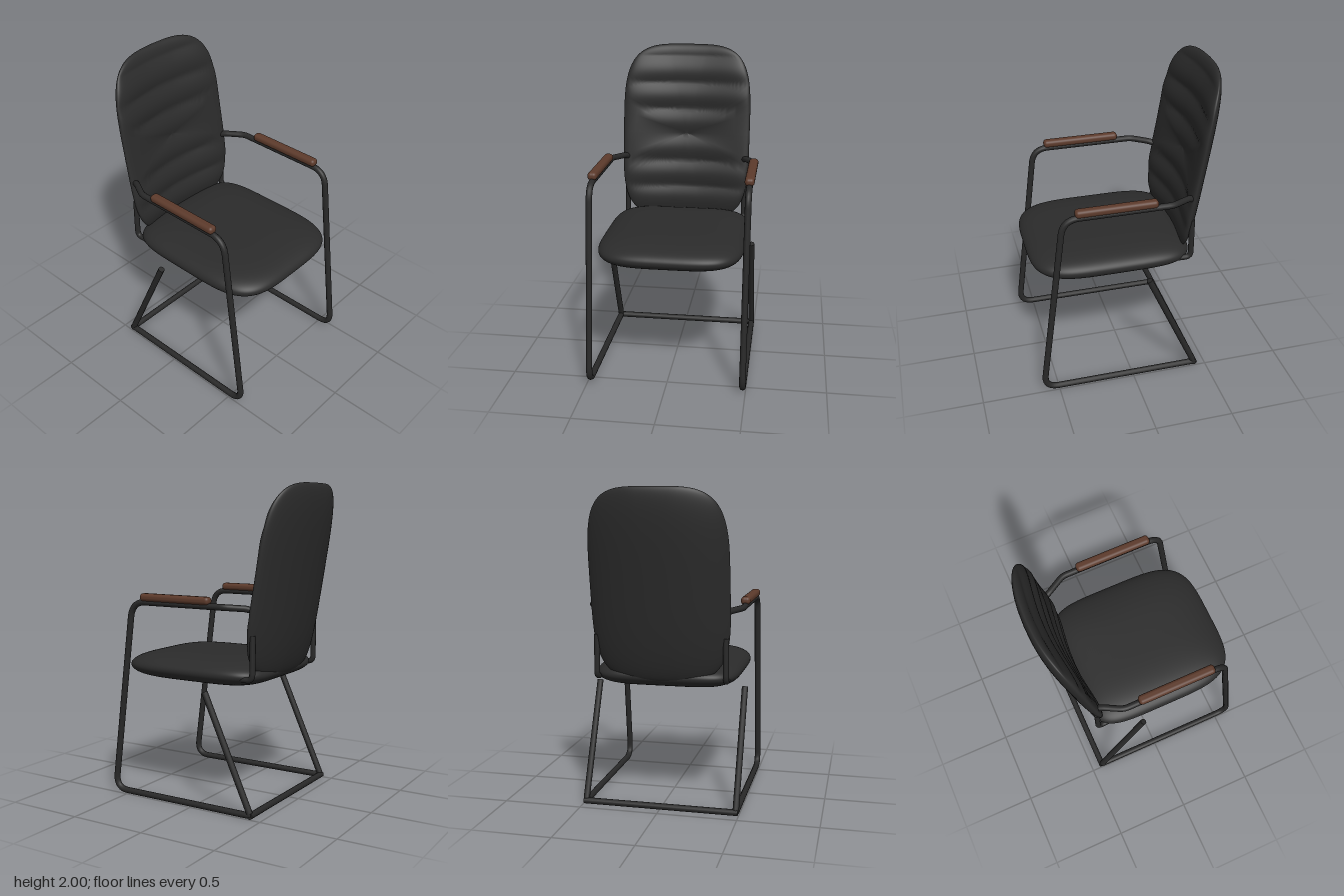
import * as THREE from 'three';
import { mergeVertices } from 'three/addons/utils/BufferGeometryUtils.js';
import { RoundedBoxGeometry } from 'three/addons/geometries/RoundedBoxGeometry.js';

const material = (name, color) => {
  const m = new THREE.MeshStandardMaterial({ color });
  m.name = name;
  return m;
};

// Pillow: a sphere whose outline becomes a rounded rectangle.
// place(x, y, h, out) gets outline coordinates and height h, each in -1..1.
function pillow(place, exponent) {
  const sphere = new THREE.SphereGeometry(1, 96, 96);
  sphere.rotateX(Math.PI / 2);
  sphere.deleteAttribute('uv');
  sphere.deleteAttribute('normal');
  const geometry = mergeVertices(sphere, 1e-5);
  const pos = geometry.attributes.position;
  const v = new THREE.Vector3();
  const bend = (c, n) => Math.sign(c) * Math.abs(c) ** (2 / n);
  for (let i = 0; i < pos.count; i++) {
    v.fromBufferAttribute(pos, i);
    const r = Math.min(1, Math.hypot(v.x, v.y));
    const n = exponent(v.y);
    const x = r > 1e-6 ? r * bend(v.x / r, n) : 0;
    const y = r > 1e-6 ? r * bend(v.y / r, n) : 0;
    const h = Math.sign(v.z) * Math.sqrt(1 - r ** 4);
    place(x, y, h, v);
    pos.setXYZ(i, v.x, v.y, v.z);
  }
  geometry.computeVertexNormals();
  return geometry;
}

// Bent tube through corner points [x, y, z, cornerRadius], with flat end caps
function bentTube(name, points, radius, mat, segments) {
  const group = new THREE.Group();
  group.name = name;
  const p = points.map(([x, y, z]) => new THREE.Vector3(x, y, z));
  const path = new THREE.CurvePath();
  let from = p[0];
  for (let i = 1; i < p.length - 1; i++) {
    const cut = points[i][3];
    const a = p[i].clone().add(p[i - 1].clone().sub(p[i]).setLength(cut));
    const b = p[i].clone().add(p[i + 1].clone().sub(p[i]).setLength(cut));
    path.add(new THREE.LineCurve3(from, a));
    path.add(new THREE.QuadraticBezierCurve3(a, p[i], b));
    from = b;
  }
  path.add(new THREE.LineCurve3(from, p[p.length - 1]));
  const tube = new THREE.Mesh(new THREE.TubeGeometry(path, segments, radius, 12), mat);
  tube.name = name + 'Tube';
  group.add(tube);
  for (const [end, next] of [[p[0], p[1]], [p[p.length - 1], p[p.length - 2]]]) {
    const cap = new THREE.Mesh(new THREE.CircleGeometry(radius, 12), mat);
    cap.name = name + 'Cap';
    cap.position.copy(end);
    cap.quaternion.setFromUnitVectors(new THREE.Vector3(0, 0, 1), end.clone().sub(next).normalize());
    group.add(cap);
  }
  return group;
}

export function createModel() {
  const model = new THREE.Group();
  model.name = 'armchair';
  const leather = material('blackLeather', 0x2b2b2b);
  const metal = material('blackMetal', 0x282828);
  const wood = material('brownWood', 0x5c3a2b);
  const add = (name, geometry, mat) => {
    const mesh = new THREE.Mesh(geometry, mat);
    mesh.name = name;
    model.add(mesh);
    return mesh;
  };

  // Seat cushion, squarer at the rear
  add('seat', pillow(
    (x, y, h, out) => out.set(0.46 * x, 0.843 + 0.088 * h, 0.095 - 0.515 * y),
    (y) => (y > 0 ? 5 : 4)
  ), leather);

  // Backrest: leaning, bowed around the sitter, with horizontal ribs in front
  add('backrest', pillow((x, y, h, out) => {
    const height = 1.41 + 0.59 * y;
    const lean = -0.405 - 0.165 * (height - 0.82);
    const bow = 0.08 * x * x;
    const rib = Math.abs(Math.sin(Math.PI * (height - 1.05) / 0.175));
    const depth = h > 0 ? 0.048 + 0.02 * rib : 0.05;
    out.set(0.435 * x, height, lean + bow + depth * h);
  }, () => 4), leather);

  for (const [side, s] of [['left', 1], ['right', -1]]) {
    // Rear leg, floor rail, front leg and arm in one bent tube
    model.add(bentTube(side + 'Frame', [
      [0.482 * s, 0.745, -0.1],
      [0.482 * s, 0.024, -0.425, 0.012],
      [0.482 * s, 0.024, 0.6, 0.1],
      [0.482 * s, 1.268, 0.44, 0.1],
      [0.482 * s, 1.268, -0.24, 0.03],
      [0.415 * s, 1.26, -0.36, 0.02],
      [0.4 * s, 1.245, -0.4],
    ], 0.02, metal, 240));

    // Bracket joining seat and backrest
    model.add(bentTube(side + 'Bracket', [
      [0.4 * s, 0.83, -0.25],
      [0.408 * s, 0.83, -0.392, 0.04],
      [0.405 * s, 1.1, -0.392],
    ], 0.018, metal, 40));

    // Wooden arm pad
    add(side + 'ArmPad', new RoundedBoxGeometry(0.06, 0.05, 0.51, 4, 0.022), wood)
      .position.set(0.482 * s, 1.3, 0.112);
  }

  // Rear floor bar
  const bar = add('rearFloorBar', new THREE.CylinderGeometry(0.02, 0.02, 0.99, 12), metal);
  bar.rotation.z = Math.PI / 2;
  bar.position.set(0, 0.024, -0.425);

  return model;
}
